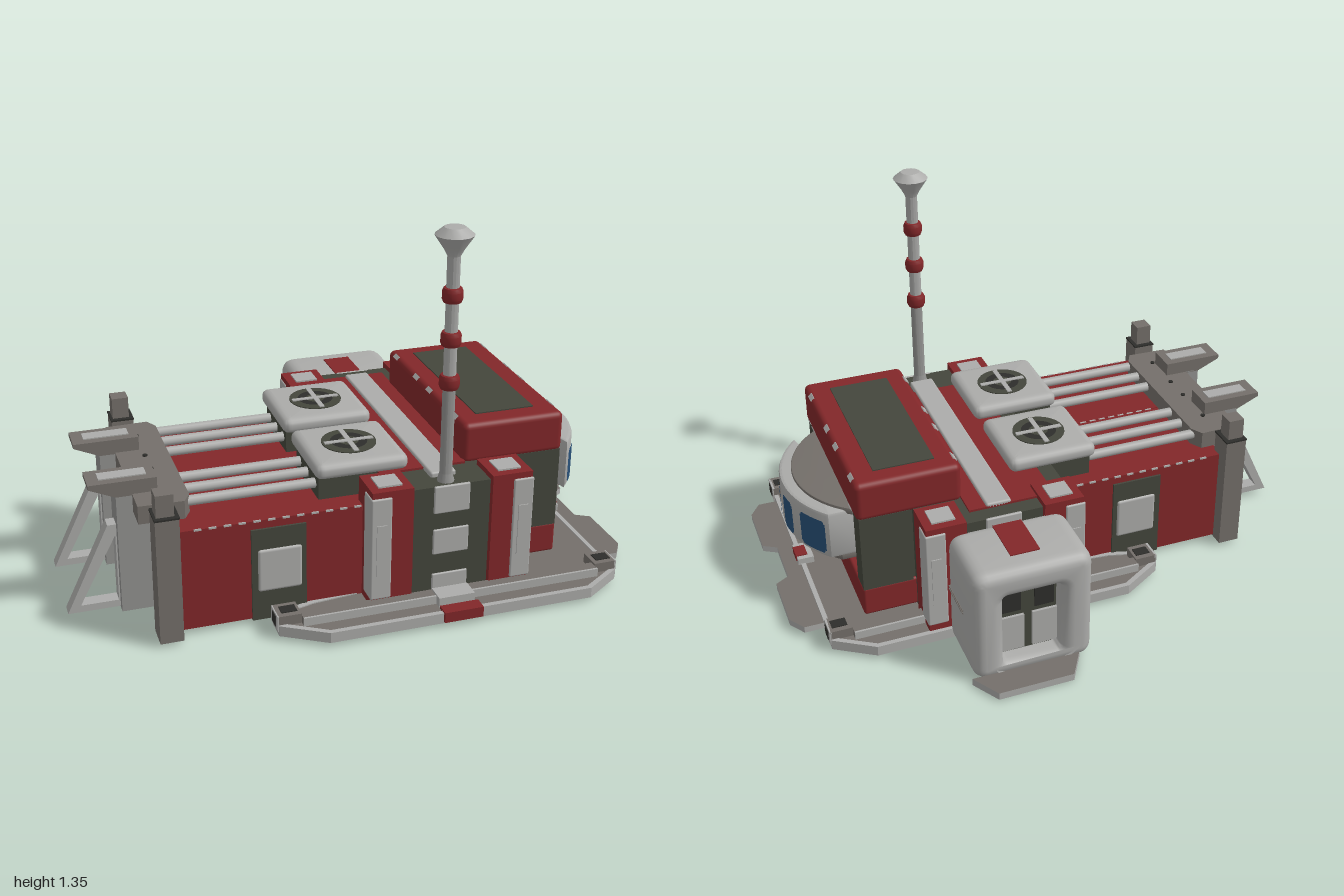
import * as THREE from 'three';
import { RoundedBoxGeometry } from 'three/addons/geometries/RoundedBoxGeometry.js';
import { toCreasedNormals } from 'three/addons/utils/BufferGeometryUtils.js';

const paint = (name, color) => {
  const m = new THREE.MeshStandardMaterial({ color });
  m.name = name;
  return m;
};

export function createModel() {
  const root = new THREE.Group();
  root.name = 'baseModule';
  const red = paint('red', 0x822729), light = paint('lightGrey', 0xacacaa), grey = paint('warmGrey', 0x746f6a);
  const steel = paint('steelGrey', 0x929290), dark = paint('darkOlive', 0x44463c), black = paint('charcoal', 0x2e2e2b);
  const blue = paint('windowBlue', 0x285078), under = paint('undersideGrey', 0x4e4e48);
  const MID = 0.165;  // mirror line of base, holds and rack
  const CORE = 0.115; // mirror line of centre block and cab

  const add = (name, geo, mat, x = 0, y = 0, z = 0) => {
    const m = new THREE.Mesh(geo, mat);
    m.name = name;
    m.position.set(x, y, z);
    root.add(m);
    return m;
  };
  // box from its limits, rounded when r is given
  const box = (name, mat, x0, x1, y0, y1, z0, z1, r = 0) => {
    const s = [x1 - x0, y1 - y0, z1 - z0];
    const g = r ? new RoundedBoxGeometry(...s, 3, r) : new THREE.BoxGeometry(...s);
    return add(name, g, mat, (x0 + x1) / 2, (y0 + y1) / 2, (z0 + z1) / 2);
  };
  const poly = (pts) => new THREE.Shape(pts.map(([a, b]) => new THREE.Vector2(a, b)));
  // horizontal slab from an outline of [x, z] points; two materials give faces and edges
  const slab = (name, mat, pts, y0, y1, hole) => {
    const s = poly(pts.map(([x, z]) => [x, -z]));
    if (hole) s.holes.push(poly(hole.map(([x, z]) => [x, -z])));
    const g = new THREE.ExtrudeGeometry(s, { depth: y1 - y0, bevelEnabled: false });
    g.rotateX(-Math.PI / 2);
    return add(name, g, mat, 0, y0, 0);
  };
  const roundRect = (S, x0, x1, y0, y1, r) => {
    const s = new S();
    s.moveTo(x0 + r, y0);
    s.lineTo(x1 - r, y0); s.quadraticCurveTo(x1, y0, x1, y0 + r);
    s.lineTo(x1, y1 - r); s.quadraticCurveTo(x1, y1, x1 - r, y1);
    s.lineTo(x0 + r, y1); s.quadraticCurveTo(x0, y1, x0, y1 - r);
    s.lineTo(x0, y0 + r); s.quadraticCurveTo(x0, y0, x0 + r, y0);
    return s;
  };

  // Base plate with raised border and notched front apron
  const mirrored = (half) => [...half.map(([x, d]) => [x, MID + d]), ...[...half].reverse().map(([x, d]) => [x, MID - d])];
  const outline = mirrored([[0.03, 0.38], [-0.22, 0.4], [-0.35, 0.44], [-0.35, 0.52], [-0.2, 0.61], [0.75, 0.61], [0.89, 0.52], [0.89, 0.42]]);
  const inner = mirrored([[0.04, 0.39], [-0.2, 0.415], [-0.33, 0.45], [-0.33, 0.51], [-0.194, 0.592], [0.744, 0.592], [0.873, 0.51], [0.873, 0.42]]);
  slab('basePlate', grey, inner, 0.02, 0.05);
  slab('basePlateBorder', light, outline, 0.016, 0.054, inner);
  slab('underside', under, inner, 0.01, 0.02);
  slab('frontApron', [grey, light], [[0.85, -0.24], [0.96, -0.24], [1, -0.18], [1, 0.04], [0.95, 0.07], [0.95, 0.26],
    [1, 0.29], [1, 0.51], [0.96, 0.57], [0.85, 0.57]], 0.021, 0.045);
  box('frontMarker', light, 0.84, 0.9, 0.05, 0.075, MID - 0.05, MID + 0.05);
  box('frontMarkerStripe', red, 0.86, 0.903, 0.055, 0.079, MID - 0.03, MID + 0.03);
  for (const x of [-0.31, 0.85]) for (const s of [-1, 1]) {
    const z = MID + s * 0.475;
    box('cornerLug', grey, x - 0.04, x + 0.04, 0.03, 0.085, z - 0.04, z + 0.04);
    box('lugSocket', black, x - 0.025, x + 0.03, 0.084, 0.088, z - 0.02, z + 0.02);
    const e = x + Math.sign(x) * 0.04;
    box('lugEnd', light, e - 0.004, e + 0.004, 0.03, 0.085, z - 0.04, z + 0.04);
    box('lugEndSocket', black, e - 0.007, e + 0.007, 0.04, 0.078, z - 0.02, z + 0.02);
  }
  for (const s of [-1, 1]) {
    const z = MID + s * 0.512;
    box('sideSill', grey, -0.27, 0.81, 0.045, 0.078, z - 0.022, z + 0.022);
    box('sideSillEdge', light, -0.27, 0.81, 0.047, 0.08, z + s * 0.024 - 0.004, z + s * 0.024 + 0.004);
  }
  box('sideStep', light, 0.2, 0.33, 0.045, 0.085, 0.66, 0.73);
  box('sideStepEdge', red, 0.2, 0.34, 0.022, 0.06, 0.735, 0.785);
  // Underside hatch frame
  const rect = (x0, x1, z0, z1) => [[x0, z0], [x1, z0], [x1, z1], [x0, z1]];
  slab('hatchFrame', red, rect(0.42, 0.78, -0.2, 0.5), 0.004, 0.012, rect(0.47, 0.73, -0.15, 0.45));

  // Twin rear holds with side windows and worn edges
  for (const s of [-1, 1]) {
    const z = MID + s * 0.2, f = MID + s * 0.4, p = f - s * 0.034;
    box('rearHold', red, -0.665, 0.05, 0.022, 0.39, z - 0.198, z + 0.198);
    box('holdSidePanel', dark, -0.41, -0.22, 0.018, 0.36, p - 0.04, p + 0.04);
    box('holdSideWindow', light, -0.39, -0.235, 0.125, 0.285, f - 0.012, f + 0.012, 0.011);
    box('holdEndPanel', dark, -0.672, -0.66, 0.08, 0.34, z - 0.13, z + 0.13);
    for (let x = -0.6; x < -0.05; x += 0.05)
      box('holdEdgeWear', light, x, x + 0.025, 0.386, 0.392, f - s * 0.002 - 0.003, f - s * 0.002 + 0.003);
  }
  for (let x = -0.56; x < -0.05; x += 0.04) box('holdSeamWear', light, x, x + 0.025, 0.384, 0.391, MID - 0.004, MID + 0.004);

  // Central block with pillars
  box('centreBlock', dark, 0, 0.55, 0.05, 0.46, -0.41, 0.64);
  box('centreRoof', red, 0.06, 0.375, 0.45, 0.468, -0.35, 0.5);
  box('roofSpine', light, 0.22, 0.312, 0.45, 0.478, -0.35, 0.57, 0.008);
  for (const s of [-1, 1]) for (const [y0, y1] of [[0.06, 0.13], [0.205, 0.3], [0.36, 0.462]]) {
    const f = CORE + s * 0.525;
    box('centrePanel', light, 0.205, 0.335, y0, y1, f - 0.006, f + 0.006, 0.005);
  }
  for (const side of [-1, 1]) for (const s of [-1, 1]) {
    const x = 0.268 + side * 0.215, z = CORE + s * 0.475;
    box('pillar', red, x - 0.073, x + 0.073, 0.05, 0.48, z - 0.07, z + 0.07);
    const ax = x + side * 0.041, az = z + s * 0.038;
    box('pillarArmour', light, ax - 0.037, ax + 0.037, 0.08, 0.458, az - 0.038, az + 0.038, 0.006);
    box('pillarLatch', light, ax - 0.018, ax + 0.018, 0.17, 0.36, az + s * 0.036 - 0.006, az + s * 0.036 + 0.006);
    box('pillarCap', light, x - 0.042, x + 0.042, 0.478, 0.486, z - 0.04, z + 0.04);
    box('pillarFoot', red, x - 0.06, x + 0.06, 0.004, 0.012, z - 0.06, z + 0.06);
    box('pillarFootPad', light, x - 0.04, x + 0.04, 0.001, 0.008, z - 0.04, z + 0.04);
  }

  // Cab: sill, recessed frame, roof box
  box('cabBody', dark, 0.5, 0.715, 0.05, 0.46, -0.25, 0.48);
  box('cabSill', red, 0.54, 0.745, 0.05, 0.165, -0.26, 0.49, 0.01);
  for (const s of [-1, 1]) {
    const z = CORE + s * 0.335;
    box('cabSidePost', dark, 0.56, 0.742, 0.16, 0.46, z - 0.04, z + 0.04);
  }
  box('cabRoof', red, 0.37, 0.75, 0.45, 0.6, -0.262, 0.492, 0.022);
  box('cabRoofPanel', dark, 0.445, 0.665, 0.598, 0.604, -0.19, 0.415);
  // worn paint chips on the rounded roof edges
  for (const [up, spots] of [[1, [-0.19, 0.02, 0.15, 0.39]], [-1, [-0.17, 0.38, 0.44]]])
    for (const side of [-1, 1]) for (const z of spots) {
      const chip = add('paintChip', new THREE.BoxGeometry(0.018, 0.004, 0.04), light, 0.56 + side * 0.1836, 0.525 + up * 0.0686, z);
      chip.rotation.z = -side * up * Math.PI / 4;
    }

  // Curved cockpit, a slice of a wide drum
  const CX = 0.54, CZ = 0.125, R = 0.39;
  const cockpitSlab = (name, mat, r, a, y0, y1, bevel) => {
    const s = new THREE.Shape();
    s.moveTo(0.7, -r * Math.sin(a));
    s.absarc(CX, 0, r, -a, a);
    s.lineTo(0.7, r * Math.sin(a));
    const g = new THREE.ExtrudeGeometry(s, { depth: y1 - y0 - 2 * bevel, bevelEnabled: true, bevelThickness: bevel,
      bevelSize: bevel, bevelOffset: -bevel, bevelSegments: 2, curveSegments: 24 });
    g.rotateX(-Math.PI / 2);
    add(name, toCreasedNormals(g, 0.6), mat, 0, y0 + bevel, CZ);
  };
  cockpitSlab('cockpit', light, R, 0.76, 0.24, 0.43, 0.012);
  cockpitSlab('cockpitBrow', grey, R - 0.045, 0.95, 0.415, 0.44, 0.004);
  cockpitSlab('cockpitFloor', grey, R - 0.03, 0.83, 0.22, 0.25, 0.006);
  // windows, each built of nested curved plates giving clipped corners
  for (const [a, w] of [[-0.565, 0.31], [-0.174, 0.205], [0.174, 0.205], [0.565, 0.31]])
    for (const [cut, h] of [[0, 0.112], [0.03, 0.128], [0.05, 0.135]]) {
      const g = new THREE.CylinderGeometry(R + 0.004, R + 0.004, h, 6, 1, true, Math.PI / 2 + a - (w - cut) / 2, w - cut);
      add('cockpitWindow', g, blue, CX, 0.327, CZ);
    }

  // Rear airlock with open recess and ramp
  const lock = roundRect(THREE.Shape, 0.05, 0.48, 0.005, 0.44, 0.055);
  lock.holes.push(roundRect(THREE.Path, 0.16, 0.37, 0.05, 0.33, 0.02));
  const lockGeo = new THREE.ExtrudeGeometry(lock, { depth: 0.2, bevelEnabled: true, bevelThickness: 0.045,
    bevelSize: 0.04, bevelOffset: -0.04, bevelSegments: 5, curveSegments: 6 });
  add('airlock', toCreasedNormals(lockGeo, 0.7), light, 0, 0, -0.65);
  box('airlockDoor', dark, 0.11, 0.42, 0.03, 0.38, -0.62, -0.58);
  for (const x of [0.205, 0.325]) {
    box('doorLeaf', light, x - 0.045, x + 0.045, 0.06, 0.2, -0.63, -0.61);
    box('doorWindow', black, x - 0.035, x + 0.035, 0.22, 0.31, -0.626, -0.61);
  }
  box('airlockStripe', red, 0.215, 0.32, 0.436, 0.444, -0.61, -0.43);
  for (const x of [0.05, 0.48]) for (const y of [0.222, 0.234])
    box('airlockSlot', grey, x - 0.003, x + 0.003, y - 0.002, y + 0.002, -0.58, -0.43);
  slab('ramp', [grey, light], [[0.1, -0.69], [0.16, -0.79], [0.43, -0.79], [0.49, -0.69]], 0.003, 0.03);

  // Fan units with pipes
  for (const s of [-1, 1]) {
    const z = MID - 0.01 + s * 0.195;
    box('fanPlinth', dark, -0.15, 0.12, 0.38, 0.475, z - 0.13, z + 0.13);
    const top = roundRect(THREE.Shape, -0.165, 0.165, -0.162, 0.162, 0.03);
    const g = new THREE.ExtrudeGeometry(top, { depth: 0.015, bevelEnabled: true, bevelThickness: 0.022, bevelSize: 0.035,
      bevelOffset: -0.035, bevelSegments: 4, curveSegments: 6 });
    g.rotateX(-Math.PI / 2);
    add('fanHousing', toCreasedNormals(g, 0.7), light, 0, 0.492, z);
    add('fanWell', new THREE.CylinderGeometry(0.096, 0.096, 0.004, 28), dark, 0, 0.53, z);
    add('fanRing', new THREE.RingGeometry(0.035, 0.065, 24).rotateX(-Math.PI / 2), black, 0, 0.533, z);
    box('fanBar', light, -0.088, 0.088, 0.53, 0.536, z - 0.009, z + 0.009);
    box('fanBar', light, -0.009, 0.009, 0.53, 0.536, z - 0.088, z + 0.088);
    for (const d of [-0.088, 0, 0.088])
      add('pipe', new THREE.CylinderGeometry(0.018, 0.018, 0.5, 14).rotateZ(Math.PI / 2), light, -0.38, 0.435, z + d);
  }

  // Rear rack: top plate, posts, arms and braced legs
  slab('rackPlate', grey, [[-0.765, -0.17], [-0.61, -0.175], [-0.585, -0.13], [-0.585, 0.44], [-0.61, 0.485], [-0.765, 0.48]], 0.395, 0.46);
  for (const z of [-0.06, 0.11, 0.22, 0.39])
    add('rackBolt', new THREE.CylinderGeometry(0.009, 0.009, 0.008, 8), black, -0.67, 0.461, z);
  for (const s of [-1, 1]) {
    const z = MID + s * 0.405, c = MID + s * 0.165;
    box('rackPost', grey, -0.735, -0.655, 0.015, 0.47, z - 0.045, z + 0.045);
    box('rackPostCollar', black, -0.737, -0.653, 0.466, 0.472, z - 0.047, z + 0.047);
    box('rackPostTop', grey, -0.728, -0.668, 0.46, 0.55, z - 0.03, z + 0.03);
    box('legPost', steel, -0.82, -0.665, 0.02, 0.46, c - 0.055, c + 0.055);
    const leg = poly([[-1, 0.025], [-0.8, 0.025], [-0.8, 0.34], [-0.85, 0.34]]);
    leg.holes.push(poly([[-0.955, 0.05], [-0.825, 0.05], [-0.825, 0.3]]));
    add('bracedLeg', new THREE.ExtrudeGeometry(leg, { depth: 0.05, bevelEnabled: false }), light, 0, 0, c - 0.025);
    const arm = poly([[-0.91, 0.51], [-0.91, 0.495], [-0.82, 0.455], [-0.68, 0.455], [-0.68, 0.51]]);
    add('upperArm', new THREE.ExtrudeGeometry(arm, { depth: 0.11, bevelEnabled: false }), grey, 0, 0, c - 0.055);
    box('armInset', light, -0.87, -0.71, 0.508, 0.514, c - 0.025, c + 0.025);
  }

  // Antenna mast with rings and flared head
  const lathe = (name, mat, pts, y) => add(name, toCreasedNormals(
    new THREE.LatheGeometry(pts.map(([r, h]) => new THREE.Vector2(r, h)), 14), 0.5), mat, 0.262, y, 0.598);
  lathe('mastBase', steel, [[0.03, 0.46], [0.022, 0.49], [0.022, 0.82]], 0);
  lathe('mast', light, [[0.022, 0.82], [0.022, 1.25], [0.035, 1.275], [0.065, 1.32], [0.035, 1.345], [0, 1.347]], 0);
  for (const y of [0.82, 0.97, 1.12])
    lathe('mastRing', red, [[0.02, -0.026], [0.03, -0.024], [0.035, -0.012], [0.035, 0.012], [0.03, 0.024], [0.02, 0.026]], y);

  return root;
}
